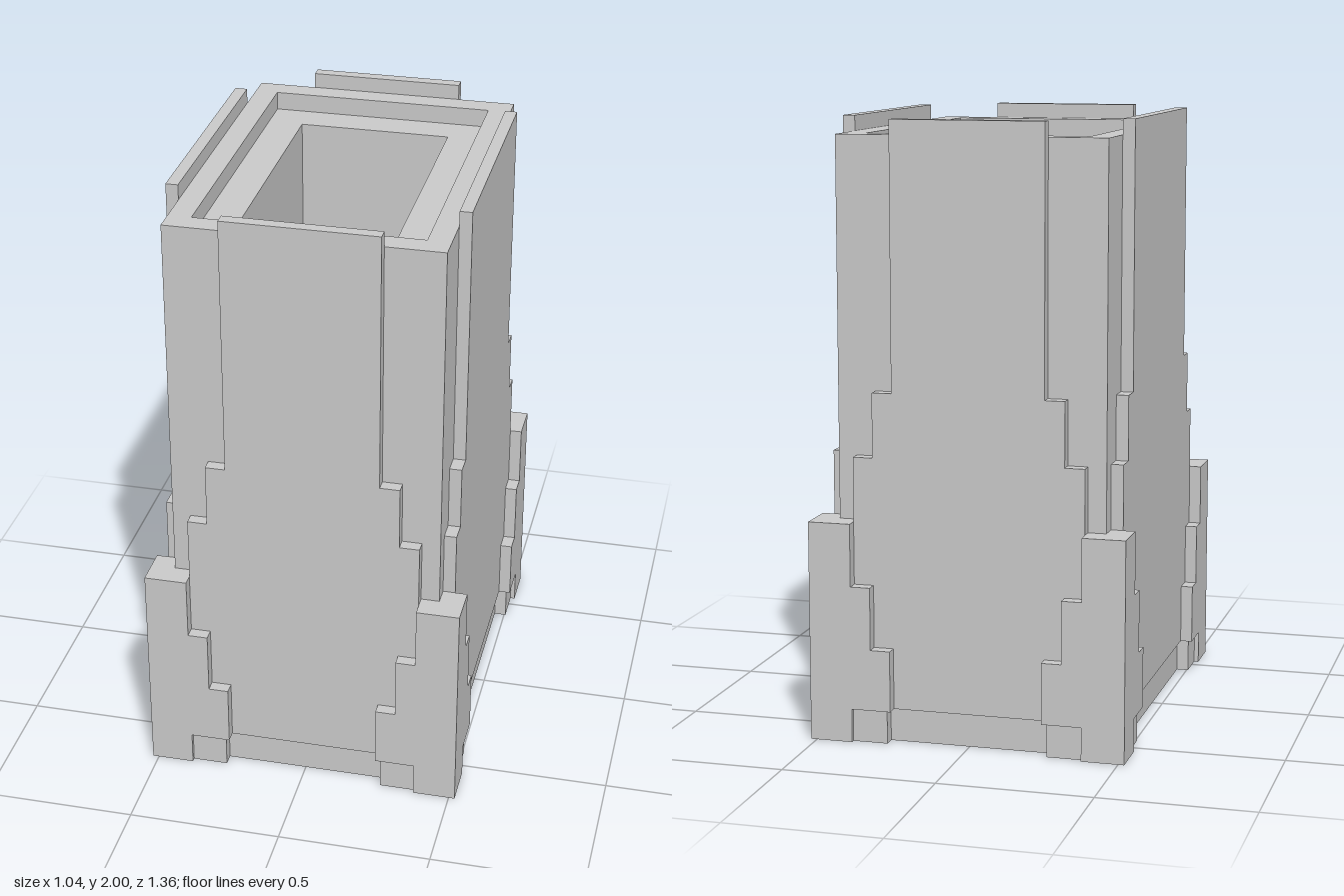
import * as THREE from 'three';
import { mergeGeometries } from 'three/addons/utils/BufferGeometryUtils.js';

const material = new THREE.MeshStandardMaterial({ color: 0xcccccc, flatShading: true, side: THREE.DoubleSide });

const HALF_X = 0.44, HALF_Z = 0.6;            // core half sizes
const RIM = 1.95, TOP = 2, POST = 0.72, BASE = 0.11;
const PANEL_OUT = 0.04, POST_OUT = 0.08, INSET = 0.015;

// Flat polygon in the xy plane at depth z
function face(points, z, hole) {
  const shape = new THREE.Shape(points.map(([x, y]) => new THREE.Vector2(x, y)));
  if (hole) shape.holes.push(new THREE.Path(hole.map(([x, y]) => new THREE.Vector2(x, y))));
  const geo = new THREE.ShapeGeometry(shape).toNonIndexed();
  geo.deleteAttribute('uv');
  return geo.translate(0, 0, z);
}

// Ribbon following an xy path, spanning depth z0 to z1
function wall(path, z0, z1) {
  const pos = [];
  for (let i = 0; i + 1 < path.length; i++) {
    const [[ax, ay], [bx, by]] = [path[i], path[i + 1]];
    pos.push(ax, ay, z0, bx, by, z0, bx, by, z1, ax, ay, z0, bx, by, z1, ax, ay, z1);
  }
  const geo = new THREE.BufferGeometry();
  geo.setAttribute('position', new THREE.Float32BufferAttribute(pos, 3));
  geo.computeVertexNormals();
  return geo;
}

const box = (x0, x1, y0, y1) => [[x0, y0], [x1, y0], [x1, y1], [x0, y1]];
const rect = (hx, hy) => box(-hx, hx, -hy, hy);

function add(parent, name, geometries) {
  const mesh = new THREE.Mesh(mergeGeometries(geometries), material);
  mesh.name = name;
  parent.add(mesh);
}

// One side of the tower: h is its half width, d the depth of its core wall
function makeSide(h, d) {
  const side = new THREE.Group();
  const w0 = h - 0.19, w1 = h - 0.125, w2 = h - 0.06, wb = w0 + INSET;
  const panelZ = d + PANEL_OUT, postZ = d + POST_OUT, outer = h + POST_OUT;
  const upper = [[w0, TOP], [w0, 1.14], [w1, 1.14], [w1, 0.93], [w2, 0.93], [w2, POST]];
  const lower = [[w2, POST], [w2, 0.515], [w1, 0.515], [w1, 0.31], [w0, 0.31], [w0, BASE]];
  const flip = (pts, s) => pts.map(([x, y]) => [x * s, y]);

  // Stepped panel, rising above the rim
  const edge = [...upper, ...lower.slice(1)];
  add(side, 'panel', [
    face([...edge, ...flip(edge, -1).reverse()], panelZ),
    face(box(-w0, w0, RIM, TOP), d),
    wall([[-w0, TOP], [w0, TOP]], panelZ, d),
    wall(upper, panelZ, d),
    wall(flip(upper, -1), panelZ, d),
  ]);

  // Recessed strip along the foot
  add(side, 'baseStrip', [
    face(box(-wb, wb, 0, BASE), panelZ - INSET),
    wall([[-w0, BASE], [w0, BASE]], panelZ, panelZ - INSET),
  ]);

  for (const s of [1, -1]) {
    const m = (pts) => flip(pts, s);
    add(side, 'coreCorner', [
      face(m([[w0, RIM], ...upper.slice(1), [h, POST], [h, RIM]]), d),
    ]);
    // Corner post; each corner's top square belongs to one side only
    add(side, 'cornerPost', [
      face(m([...lower, [w2, BASE], [w2, 0], [outer, 0], [outer, POST]]), postZ),
      wall(m(lower), postZ, panelZ),
      wall(m([[w2, POST], [s > 0 ? outer : h, POST]]), postZ, d),
    ]);
    // Small recessed block beside the post
    add(side, 'footBlock', [
      face(m(box(wb, w2, 0, BASE)), postZ - INSET),
      wall(m([[wb, 0], [wb, BASE]]), postZ - INSET, panelZ - INSET),
      wall(m([[w2, 0], [w2, BASE]]), postZ, postZ - INSET),
      wall(m([[wb, BASE], [w2, BASE]]), postZ, postZ - INSET),
      wall(m([[w0, BASE], [wb, BASE]]), postZ, panelZ - INSET),
    ]);
  }
  return side;
}

export function createModel() {
  const model = new THREE.Group();
  model.name = 'steppedTower';

  ['front', 'left', 'back', 'right'].forEach((name, i) => {
    const side = i % 2 ? makeSide(HALF_Z, HALF_X) : makeSide(HALF_X, HALF_Z);
    side.name = name + 'Side';
    side.rotation.y = (i * Math.PI) / 2;
    model.add(side);
  });

  // Rim, ledge and shaft, laid out flat with height along z, then stood up
  const opening = new THREE.Group();
  opening.name = 'opening';
  opening.rotation.x = -Math.PI / 2;
  const ledgeY = 1.89, floorY = 1.0;
  const outer = rect(HALF_X, HALF_Z);
  const recess = rect(HALF_X - 0.075, HALF_Z - 0.075);
  const shaft = rect(HALF_X - 0.19, HALF_Z - 0.19);
  const loop = (pts) => [...pts, pts[0]].reverse();
  add(opening, 'rim', [face(outer, RIM, recess), wall(loop(recess), ledgeY, RIM)]);
  add(opening, 'ledge', [face(recess, ledgeY, shaft)]);
  add(opening, 'shaft', [wall(loop(shaft), floorY, ledgeY), face(shaft, floorY)]);
  model.add(opening);

  return model;
}
